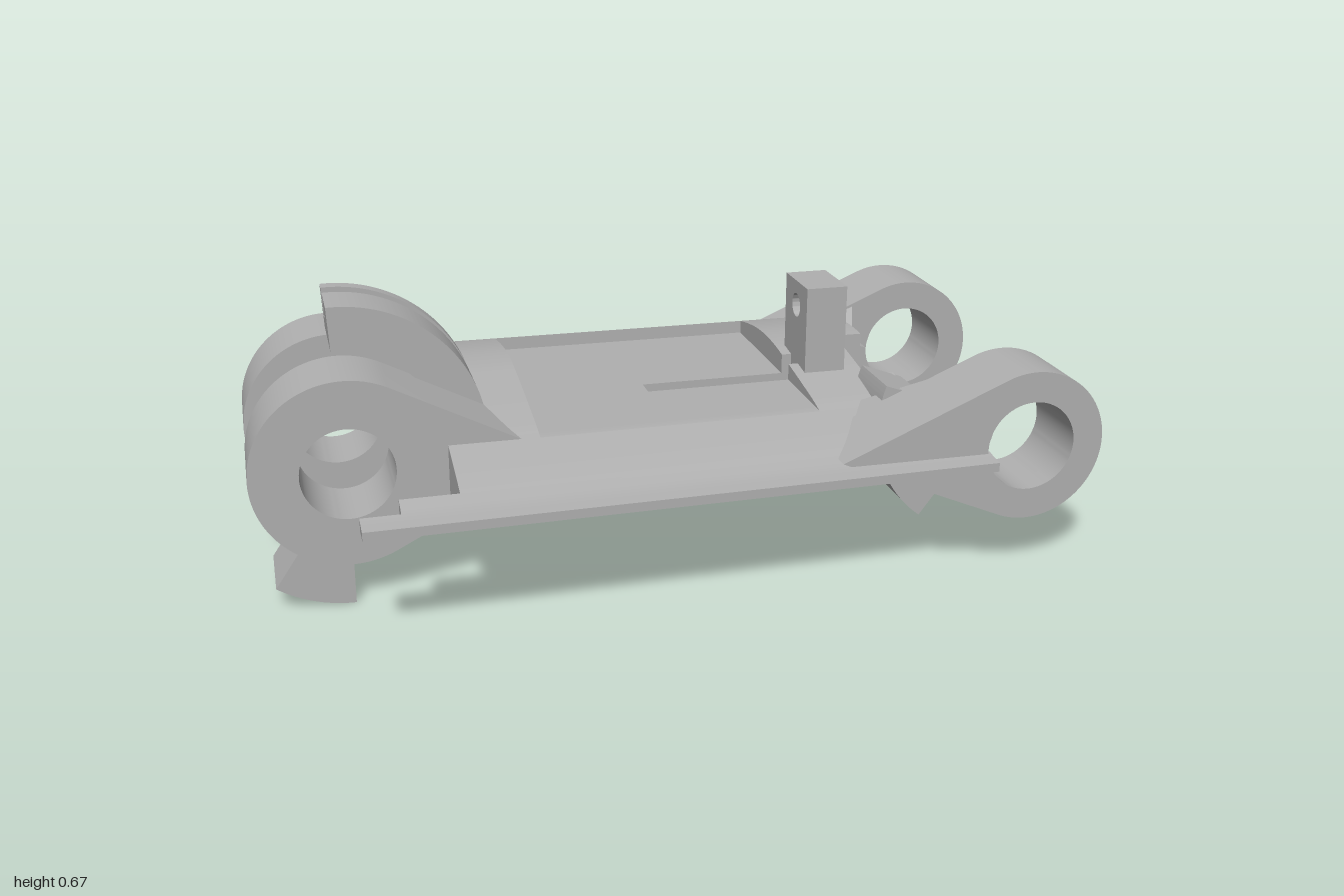
import * as THREE from 'three';
import { mergeGeometries, toCreasedNormals } from 'three/addons/utils/BufferGeometryUtils.js';

const metal = new THREE.MeshStandardMaterial({ color: 0xb0b0b0 });
metal.name = 'plain grey';
const DEG = Math.PI / 180;
const AXIS_Y = 0.323;

// Wing-like cross-section: [z, y] along the upper and lower skins
const skin = (pts) => new THREE.SplineCurve(pts.map(([z, y]) => new THREE.Vector2(z, y))).getPoints(96);
const TOP = skin([[-0.57, 0.298], [-0.555, 0.328], [-0.53, 0.35], [-0.49, 0.372], [-0.4, 0.405], [-0.25, 0.43],
  [-0.12, 0.432], [0, 0.418], [0.2, 0.387], [0.275, 0.371], [0.4, 0.343], [0.5, 0.316], [0.565, 0.308]]);
const BOTTOM = skin([[-0.57, 0.285], [-0.555, 0.262], [-0.49, 0.232], [-0.3, 0.215], [-0.1, 0.215],
  [0.1, 0.23], [0.3, 0.254], [0.5, 0.283], [0.565, 0.286]]);

function heightAt(curve, z) {
  for (let i = 1; i < curve.length; i++) {
    const a = curve[i - 1], b = curve[i];
    if (z <= b.x) return a.y + (b.y - a.y) * Math.max(0, (z - a.x) / (b.x - a.x));
  }
  return curve[curve.length - 1].y;
}

function circleHole(x, y, r) {
  const p = new THREE.Path();
  p.absarc(x, y, r, 0, Math.PI * 2, true);
  return p;
}

const polygon = (pts) => new THREE.Shape(pts.map(([x, y]) => new THREE.Vector2(x, y)));

// One lengthwise strip of the plate, optionally cut down to a flat floor or drilled
function strip(z0, z1, x0, x1, floor = 1, drilled = false) {
  const n = Math.max(3, Math.ceil((z1 - z0) / 0.015));
  const upper = [], lower = [];
  for (let i = 0; i <= n; i++) {
    const z = z0 + (z1 - z0) * i / n;
    upper.push([-z, Math.min(floor, heightAt(TOP, z))]);
    lower.unshift([-z, heightAt(BOTTOM, z)]);
  }
  const shape = polygon([...upper, ...lower]);
  if (drilled) shape.holes.push(circleHole(-0.057, AXIS_Y, 0.026));
  const g = new THREE.ExtrudeGeometry(shape, { depth: x1 - x0, bevelEnabled: false, curveSegments: 10 });
  g.rotateY(Math.PI / 2).translate(x0, 0, 0);
  // the plate narrows slightly towards +x
  const p = g.attributes.position;
  for (let i = 0; i < p.count; i++) p.setZ(i, p.getZ(i) * (1 - 0.034 * (p.getX(i) + 0.77)));
  return g;
}

function plate() {
  const parts = [
    strip(-0.57, -0.515, -0.77, 0.715), strip(-0.515, -0.47, -0.69, 0.705),
    strip(-0.47, -0.4, -0.555, 0.55), strip(0.275, 0.31, -0.545, 0.58),
    strip(0.31, 0.455, -0.545, 0.5), strip(0.455, 0.505, -0.68, 0.5), strip(0.505, 0.565, -0.77, 0.71),
  ];
  // strips crossed by the shallow pocket: [z0, z1, end x, drilled]
  const crossed = [[-0.4, -0.3, 0.55], [-0.3, -0.12, 0.61], [-0.12, -0.028, 0.535],
    [0.028, 0.12, 0.535, true], [0.12, 0.275, 0.61]];
  for (const [z0, z1, end, drilled] of crossed) {
    parts.push(strip(z0, z1, -0.545, -0.33, 1, drilled));
    parts.push(strip(z0, z1, -0.33, 0.36, 0.372, drilled));
    parts.push(strip(z0, z1, 0.36, end, 1, drilled));
  }
  // centre strip with the narrow groove
  parts.push(strip(-0.028, 0.028, -0.545, -0.33), strip(-0.028, 0.028, -0.33, -0.01, 0.372),
    strip(-0.028, 0.028, -0.01, 0.385, 0.34), strip(-0.028, 0.028, 0.385, 0.535));
  return mergeGeometries(parts);
}

const slab = (shape, z0, z1) =>
  new THREE.ExtrudeGeometry(shape, { depth: z1 - z0, bevelEnabled: false, curveSegments: 40 }).translate(0, 0, z0);

// Ring with straight tangents running to a point inside the plate; dir is the arm's x direction
function knuckle(cx, r, hole, tangent, dir, z0, z1) {
  const s = new THREE.Shape();
  const a = tangent * DEG, mid = dir > 0 ? 0 : Math.PI;
  s.absarc(cx, AXIS_Y, r, mid + a, mid + 2 * Math.PI - a, false);
  s.lineTo(cx + dir * r / Math.cos(a), AXIS_Y);
  s.closePath();
  s.holes.push(circleHole(cx, AXIS_Y, hole));
  return slab(s, z0, z1);
}

// Part of a thick ring between two angles
function sector(cx, r0, r1, a0, a1, z0, z1) {
  const s = new THREE.Shape();
  s.absarc(cx, AXIS_Y, r1, a0 * DEG, a1 * DEG, false);
  s.absarc(cx, AXIS_Y, r0, a1 * DEG, a0 * DEG, true);
  s.closePath();
  return slab(s, z0, z1);
}

// Fairing beside an outer arm, sloping down to the plate on its inner side
function fairing(z0, z1) {
  const g = slab(polygon([[0.42, 0.355], [0.42, 0.3], [0.62, 0.3], [0.63, 0.39], [0.655, 0.45]]), z0, z1);
  const p = g.attributes.position;
  for (let i = 0; i < p.count; i++) {
    if (Math.abs(p.getZ(i)) < 0.25) p.setXY(i, Math.min(p.getX(i), 0.625), Math.min(p.getY(i), 0.385));
  }
  return g;
}

export function createModel() {
  const model = new THREE.Group();
  model.name = 'hingeLink';
  const add = (name, geometry) => {
    const mesh = new THREE.Mesh(toCreasedNormals(geometry, 0.45), metal);
    mesh.name = name;
    model.add(mesh);
  };
  const L = -0.775, R = 0.812;

  add('plate', plate());

  // Paired hinge parts on both sides of the centre
  for (const side of [1, -1]) {
    const span = (a, b) => (side > 0 ? [a, b] : [-b, -a]);
    add('innerKnuckle', knuckle(L, 0.225, 0.11, 63, 1, ...span(0.085, 0.27)));
    add('innerStop', sector(L, 0.2, 0.323, 236, 270, ...span(0.085, 0.27)));
    add('outerKnuckle', knuckle(R, 0.185, 0.11, 67, -1, ...span(0.3, 0.49)));
    add('outerStopRoot', sector(R, 0.195, 0.308, 160, 205, ...span(0.12, 0.285)));
    add('outerStop', sector(R, 0.195, 0.308, 205, 233, ...span(0.085, 0.285)));
    add('armFairing', fairing(...span(0.21, 0.3)));
  }

  // Curved centre guide: wide and narrow flanges with a lower groove floor between
  add('guideWideUpper', sector(L, 0.24, 0.348, 7, 93, -0.025, 0.103));
  add('guideWideLower', sector(L, 0.25, 0.348, -24, -7, -0.025, 0.085));
  add('guideNarrow', sector(L, 0.24, 0.348, -24, 93, -0.105, -0.07));
  add('guideGroove', sector(L, 0.24, 0.28, -15, 93, -0.07, -0.025));

  // Upright post with an eye drilled along x
  const post = polygon([[-0.08, 0.39], [0.08, 0.39], [0.08, 0.625], [-0.08, 0.625]]);
  post.holes.push(circleHole(0, 0.562, 0.03));
  add('post', slab(post, 0, 0.105).rotateY(Math.PI / 2).translate(0.385, 0, 0));

  return model;
}
